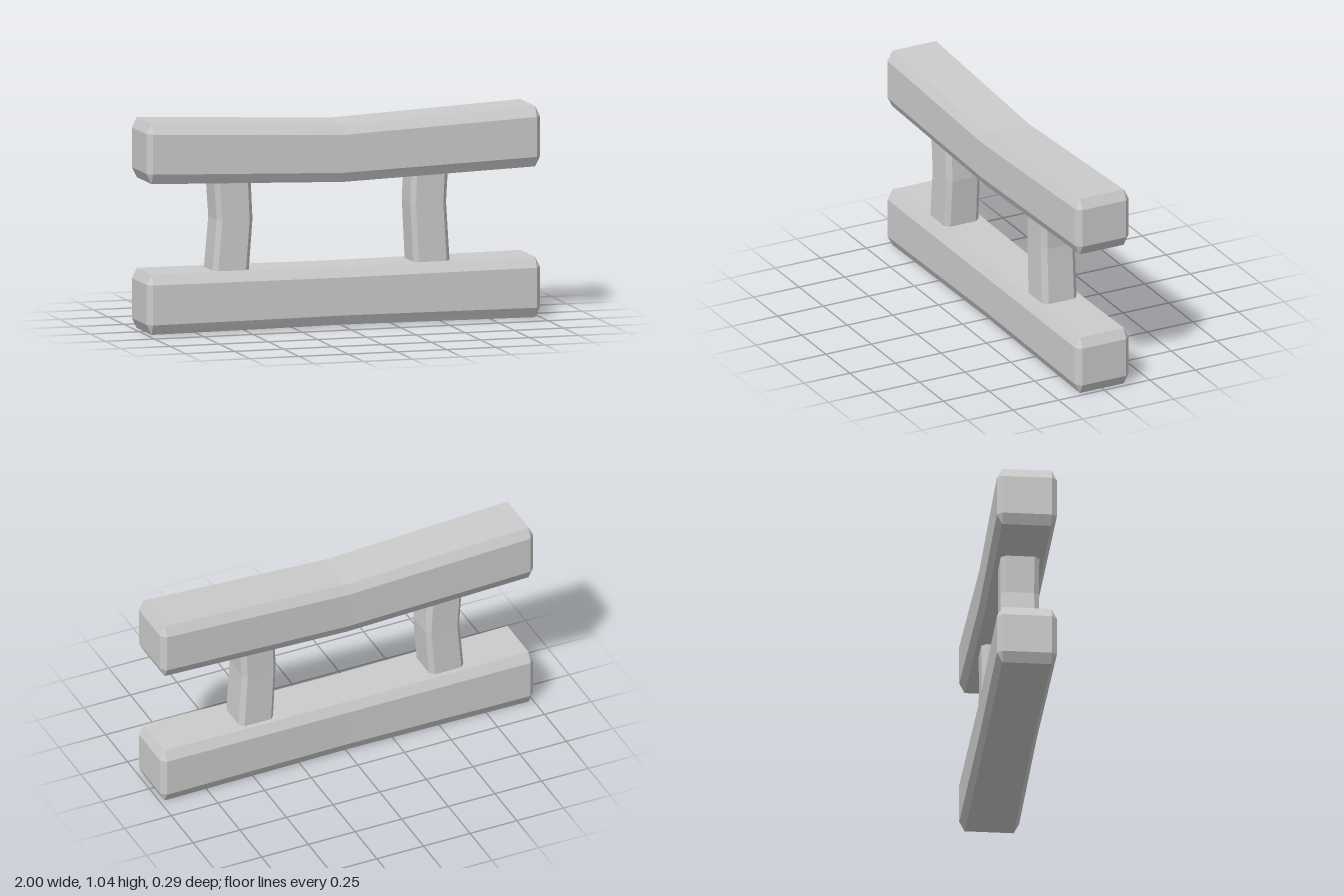
import * as THREE from 'three';

const material = new THREE.MeshStandardMaterial({ color: 0xcccccc, flatShading: true });

// Corner-cut rectangle with half sizes a, b and cuts ca, cb, counter-clockwise
function octagon(a, b, ca, cb) {
  return [
    [a, -b + cb], [a, b - cb], [a - ca, b], [-a + ca, b],
    [-a, b - cb], [-a, -b + cb], [-a + ca, -b], [a - ca, -b],
  ];
}

// Skin a row of 8-point rings and close both ends
function loft(name, rings) {
  const pos = [];
  const ab = new THREE.Vector3(), ac = new THREE.Vector3();
  const tri = (a, b, c) => {
    // skip the collapsed triangles where a corner cut runs out
    if (ab.subVectors(b, a).cross(ac.subVectors(c, a)).length() < 1e-8) return;
    for (const p of [a, b, c]) pos.push(p.x, p.y, p.z);
  };
  for (let r = 0; r < rings.length - 1; r++) {
    for (let i = 0; i < 8; i++) {
      const j = (i + 1) % 8, lo = rings[r], hi = rings[r + 1];
      tri(lo[i], lo[j], hi[j]);
      tri(lo[i], hi[j], hi[i]);
    }
  }
  const first = rings[0], last = rings[rings.length - 1];
  for (let i = 1; i < 7; i++) {
    tri(first[0], first[i + 1], first[i]);
    tri(last[0], last[i], last[i + 1]);
  }
  const geometry = new THREE.BufferGeometry();
  geometry.setAttribute('position', new THREE.Float32BufferAttribute(pos, 3));
  geometry.computeVertexNormals();
  const mesh = new THREE.Mesh(geometry, material);
  mesh.name = name;
  return mesh;
}

// Rail along x: bevelled ends, slightly slimmer at the middle
function rail(name, endY, midY) {
  const ring = (x, y, hy, hz, cy, cz) =>
    octagon(hy, hz, cy, cz).map(([u, v]) => new THREE.Vector3(x, y + u, v));
  return loft(name, [
    ring(-1, endY, 0.098, 0.12, 0, 0),
    ring(-0.975, endY, 0.148, 0.146, 0.05, 0.026),
    ring(0, midY, 0.141, 0.14, 0.048, 0.024),
    ring(0.975, endY, 0.148, 0.146, 0.05, 0.026),
    ring(1, endY, 0.098, 0.12, 0, 0),
  ]);
}

// Bent post along y; path holds [x, y, scale], ends are buried in the rails
function post(name, path) {
  return loft(name, path.map(([x, y, s]) =>
    octagon(0.095 * s, 0.093 * s, 0.025, 0.022).map(([u, v]) => new THREE.Vector3(x + v, y, u))));
}

export function createModel() {
  const group = new THREE.Group();
  group.name = 'railing';
  group.add(
    rail('lowerRail', 0.148, 0.148),
    rail('upperRail', 0.888, 0.848),
    post('rightPost', [[-0.565, 0.2, 1], [-0.537, 0.54, 0.98], [-0.552, 0.8, 1]]),
    post('leftPost', [[0.468, 0.2, 1], [0.447, 0.58, 0.98], [0.457, 0.8, 1]]),
  );
  return group;
}
